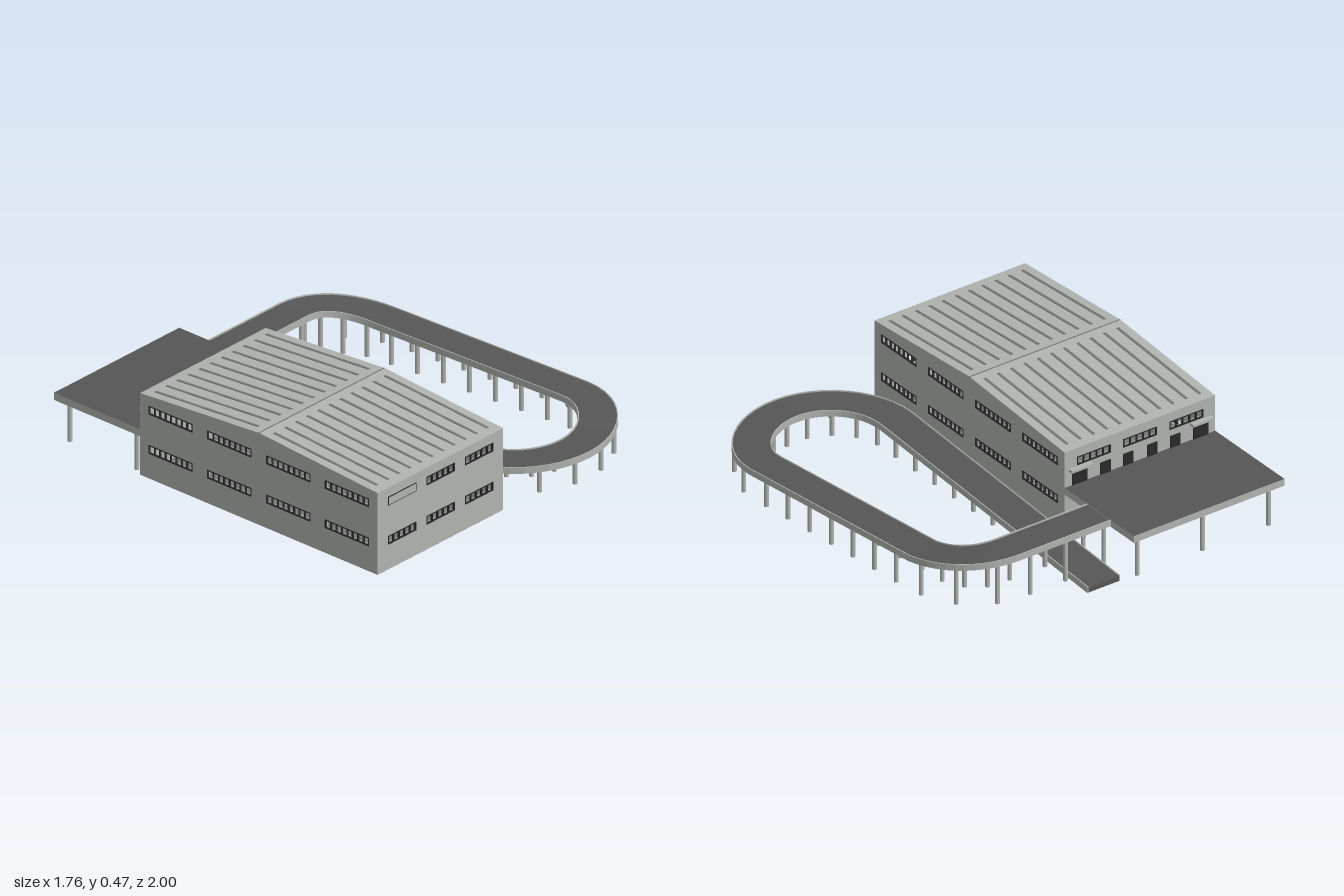
import * as THREE from 'three';

const mat = (name, color) => {
  const m = new THREE.MeshStandardMaterial({ color });
  m.name = name;
  return m;
};

export function createModel() {
  const concrete = mat('pale concrete', 0xb0b3b0);
  const asphalt = mat('dark asphalt', 0x565656);
  const seam = mat('roof seam grey', 0x747674);
  const frameDark = mat('window frame black', 0x2a2a2a);

  const model = new THREE.Group();
  model.name = 'buildingWithRamp';

  const add = (parent, name, geo, material, x = 0, y = 0, z = 0) => {
    const m = new THREE.Mesh(geo, material);
    m.name = name;
    m.position.set(x, y, z);
    parent.add(m);
    return m;
  };
  const box = (parent, name, w, h, d, x, y, z, material) =>
    add(parent, name, new THREE.BoxGeometry(w, h, d), material, x, y, z);
  const polygon = (pts) => new THREE.Shape(pts.map((p) => new THREE.Vector2(...p)));

  // Building extents
  const CX = -0.47, CZ = 0.21, W = 0.82, L = 1.4;
  const BASE = 0.015, EAVE = 0.41, RIDGE = 0.46, T = 0.015;
  const ROWS = [0.16, 0.354], WIN_H = 0.038;

  // Wall with pierced ribbon windows; outer face lies on local z = 0
  function wall(name, outline, centers, winW, panes, x, z, turn) {
    const g = new THREE.Group();
    g.name = name;
    g.position.set(x, 0, z);
    g.rotation.y = turn;
    const shape = polygon(outline);
    for (const y of ROWS) {
      for (const c of centers) {
        const x0 = c - winW / 2, x1 = c + winW / 2, y0 = y - WIN_H / 2, y1 = y + WIN_H / 2;
        shape.holes.push(new THREE.Path([[x0, y0], [x0, y1], [x1, y1], [x1, y0]].map((p) => new THREE.Vector2(...p))));
        for (const yy of [y0, y1]) box(g, 'windowRail', winW + 0.004, 0.004, 0.01, c, yy, -0.002, frameDark);
        for (let i = 0; i <= panes; i++) {
          box(g, 'windowMullion', 0.004, WIN_H, 0.01, x0 + (winW * i) / panes, y, -0.002, frameDark);
        }
      }
    }
    const geo = new THREE.ExtrudeGeometry(shape, { depth: T, bevelEnabled: false });
    add(g, name + 'Panel', geo, concrete, 0, 0, -T);
    model.add(g);
    return g;
  }

  const rect = [[-W / 2, BASE], [W / 2, BASE], [W / 2, EAVE], [-W / 2, EAVE]];
  const gable = [[-L / 2, BASE], [L / 2, BASE], [L / 2, EAVE], [0, RIDGE], [-L / 2, EAVE]];
  const endWindows = [-0.252, 0, 0.252], sideWindows = [-0.52, -0.174, 0.174, 0.52];
  const front = wall('frontWall', rect, endWindows, 0.178, 5, CX, CZ + L / 2, 0);
  const back = wall('backWall', rect, endWindows, 0.178, 5, CX, CZ - L / 2, Math.PI);
  wall('leftWall', gable, sideWindows, 0.255, 8, CX + W / 2, CZ, Math.PI / 2);
  wall('rightWall', gable, sideWindows, 0.255, 8, CX - W / 2, CZ, -Math.PI / 2);

  // One front window is closed with a blank panel
  box(front, 'blankPanel', 0.176, WIN_H - 0.003, 0.012, -0.252, ROWS[1], -0.002, concrete);

  // Doors and canopies opening onto the rear deck
  for (const x of [-0.33, 0.33]) {
    box(back, 'deckDoor', 0.08, 0.075, 0.006, x, 0.277, 0.002, frameDark);
    box(back, 'doorCanopy', 0.115, 0.012, 0.026, x, 0.322, 0.013, concrete);
  }
  for (const x of [-0.19, -0.065, 0.065, 0.19]) {
    box(back, 'deckDoor', 0.055, 0.06, 0.006, x, 0.27, 0.002, frameDark);
  }

  box(model, 'groundFloor', W - 0.002, 0.01, L - 0.002, CX, BASE + 0.004, CZ, seam);

  // Pitched roof, ridge running across the building
  const roofShape = polygon([
    [-L / 2, EAVE], [0, RIDGE], [L / 2, EAVE], [L / 2, EAVE + 0.01], [0, RIDGE + 0.01], [-L / 2, EAVE + 0.01],
  ]);
  const roof = add(model, 'roof', new THREE.ExtrudeGeometry(roofShape, { depth: W, bevelEnabled: false }),
    concrete, CX - W / 2, 0, CZ);
  roof.rotation.y = Math.PI / 2;

  // Roof seams on both slopes
  const pitch = Math.atan((RIDGE - EAVE) / (L / 2));
  for (const side of [-1, 1]) {
    for (let i = -5; i <= 5; i++) {
      const s = box(model, 'roofSeam', 0.013, 0.003, 0.61, CX + i * 0.0722, (EAVE + RIDGE) / 2 + 0.0105, CZ + side * 0.35, seam);
      s.rotation.x = side * pitch;
    }
  }
  box(model, 'ridgeSeam', W, 0.003, 0.006, CX, RIDGE + 0.0095, CZ, seam);

  // Rear parking deck on posts
  box(model, 'rearDeck', W, 0.035, 0.51, CX, 0.2225, -0.745, [concrete, concrete, asphalt, asphalt, concrete, concrete]);
  const post = (name, x, z, y0, y1) =>
    add(model, name, new THREE.CylinderGeometry(0.011, 0.011, y1 - y0, 10), concrete, x, (y0 + y1) / 2, z);
  for (const x of [-0.83, CX, -0.115]) {
    for (const z of [-0.95, -0.555]) post('deckPost', x, z, 0, 0.21);
  }

  // Ramp centre line, from the deck around the loop and down to the ground
  const v = (x, y, z) => new THREE.Vector3(x, y, z);
  const path = new THREE.CurvePath();
  const A = v(-0.06, 0.235, -0.743), B = v(0.41, 0.235, -0.743), C = v(0.697, 0.188, -0.47);
  const D = v(0.788, 0.157, 0.57), E = v(0.42, 0.143, 0.908), F = v(0.075, 0.13, 0.57), G = v(0.075, 0.034, -0.96);
  path.add(new THREE.LineCurve3(A, B));
  path.add(new THREE.CubicBezierCurve3(B, v(0.56, 0.23, -0.743), v(0.67, 0.205, -0.64), C));
  path.add(new THREE.LineCurve3(C, D));
  path.add(new THREE.CubicBezierCurve3(D, v(0.80, 0.152, 0.74), v(0.61, 0.146, 0.908), E));
  path.add(new THREE.CubicBezierCurve3(E, v(0.23, 0.14, 0.908), v(0.075, 0.134, 0.76), F));
  path.add(new THREE.LineCurve3(F, G));
  const pts = path.getPoints(12);

  // Sideways direction of the ramp for a given heading
  const sideOf = (t) => v(t.z, 0, -t.x).normalize();

  // Sweep a rectangle (a..b sideways, bottom..top relative to the road) along the ramp
  function sweep(name, a, b, bottom, top, material) {
    const rings = pts.map((p, i) => {
      const before = pts[Math.max(i - 1, 0)], after = pts[Math.min(i + 1, pts.length - 1)];
      const t1 = p.clone().sub(before).setY(0).normalize(), t2 = after.clone().sub(p).setY(0).normalize();
      const n = sideOf(t1.add(t2));
      return [[a, bottom], [b, bottom], [b, top], [a, top]].map(([s, h]) => p.clone().addScaledVector(n, s).add(v(0, h, 0)));
    });
    const pos = [];
    const quad = (p, q, r, s) => [p, q, r, p, r, s].forEach((c) => pos.push(c.x, c.y, c.z));
    for (let i = 0; i < rings.length - 1; i++) {
      for (let k = 0; k < 4; k++) {
        const m = (k + 1) % 4;
        quad(rings[i][k], rings[i][m], rings[i + 1][m], rings[i + 1][k]);
      }
    }
    const s = rings[0], e = rings[rings.length - 1];
    quad(s[3], s[2], s[1], s[0]);
    quad(e[0], e[1], e[2], e[3]);
    const geo = new THREE.BufferGeometry();
    geo.setAttribute('position', new THREE.Float32BufferAttribute(pos, 3));
    geo.computeVertexNormals();
    add(model, name, geo, material);
  }
  sweep('rampRoad', -0.083, 0.083, -0.024, 0, asphalt);
  sweep('rampCurbLeft', 0.083, 0.088, -0.025, 0.006, concrete);
  sweep('rampCurbRight', -0.088, -0.083, -0.025, 0.006, concrete);

  // Paired posts along the ramp
  const length = path.getLength();
  const stations = [0.03, 0.238, 0.43];
  for (let s = 0.57; s < length; s += 0.143) stations.push(s);
  for (const s of stations) {
    const p = path.getPointAt(s / length);
    if (p.y < 0.06) continue;
    const n = sideOf(path.getTangentAt(s / length));
    for (const d of [-0.075, 0.075]) post('rampPost', p.x + n.x * d, p.z + n.z * d, 0.012, p.y - 0.02);
  }

  return model;
}
